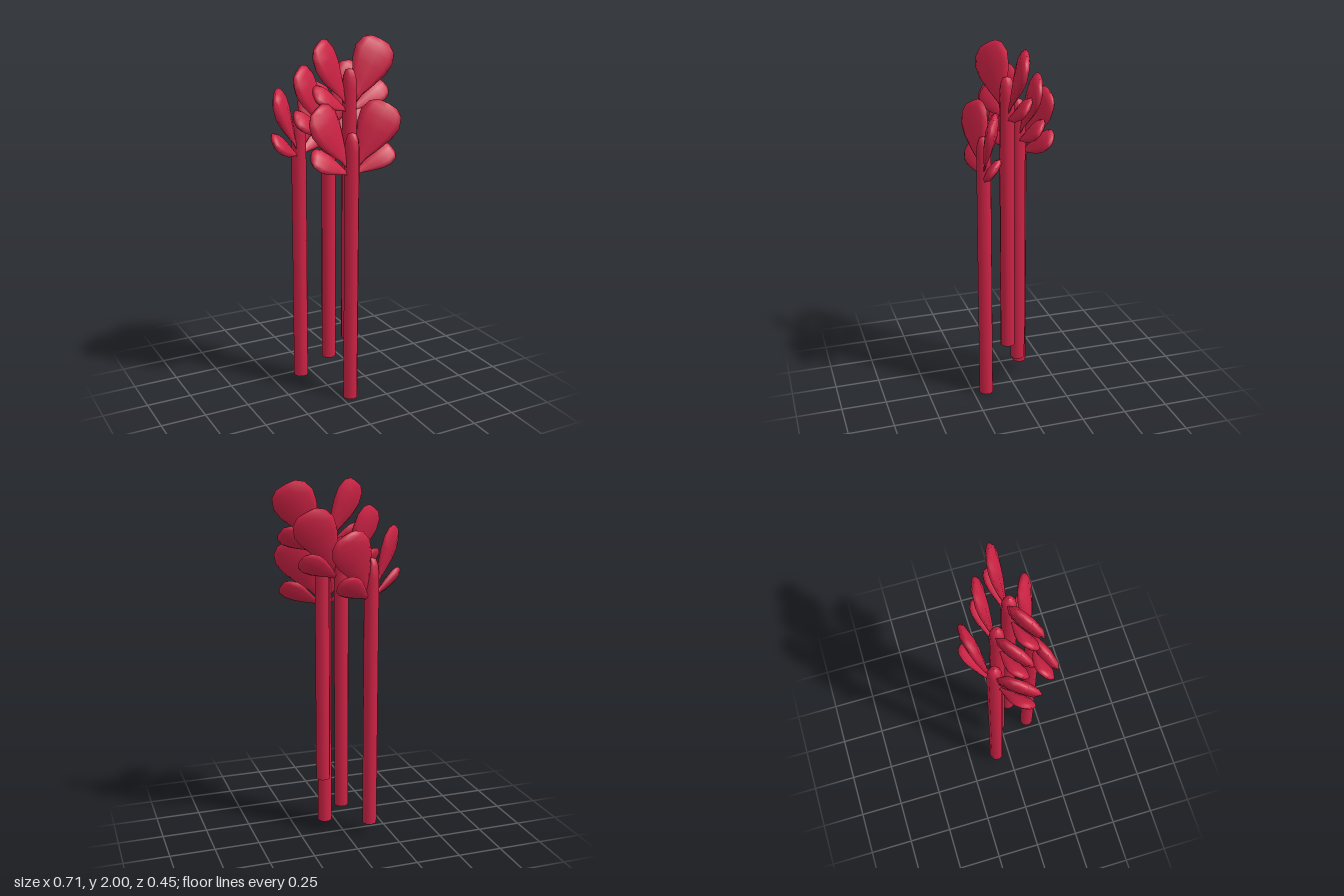
import * as THREE from 'three';

const crimson = new THREE.MeshStandardMaterial({ color: 0xcc2244 });
crimson.name = 'crimson';

const v2 = (list) => list.map(([x, y]) => new THREE.Vector2(x, y));

// Leaf: a flattened paddle with a narrow neck and a blunt tip, growing along +y
function leafGeometry(length, halfWidth, halfThickness) {
  const profile = v2([[0, 0], [0.14, 0.03], [0.24, 0.16], [0.58, 0.36], [0.9, 0.58],
    [1, 0.76], [0.83, 0.91], [0.5, 0.985], [0, 1]]);
  return new THREE.LatheGeometry(profile, 8).scale(halfWidth, length, halfThickness);
}

const stemGeometry = new THREE.LatheGeometry(
  v2([[0.04, 0], [0.04, 1.42], [0.036, 1.48], [0.023, 1.517], [0, 1.525]]), 10);
const capGeometry = new THREE.CircleGeometry(0.04, 10).rotateX(Math.PI / 2).rotateY(Math.PI / 10);

// Two pairs of leaves: lean is the angle from vertical, twist turns the blade about its length
const leafPairs = [
  { name: 'upperLeaf', geometry: leafGeometry(0.375, 0.115, 0.032), x: 0.02, y: 1.34, lean: 0.54, twist: 0.42 },
  { name: 'lowerLeaf', geometry: leafGeometry(0.26, 0.072, 0.026), x: 0.01, y: 1.3, lean: 1.08, twist: 0.7 },
];

function createStalk() {
  const stalk = new THREE.Group();
  const add = (name, geometry) => {
    const mesh = new THREE.Mesh(geometry, crimson);
    mesh.name = name;
    stalk.add(mesh);
    return mesh;
  };
  add('stem', stemGeometry);
  add('stemEnd', capGeometry);
  for (const { name, geometry, x, y, lean, twist } of leafPairs) {
    for (const side of [1, -1]) {
      const leaf = add(name + (side > 0 ? 'Left' : 'Right'), geometry);
      leaf.position.set(side * x, y, 0.004);
      leaf.rotation.set(0, -side * twist, -side * lean, 'ZYX');
    }
  }
  return stalk;
}

export function createModel() {
  const model = new THREE.Group();
  model.name = 'stalkBunch';
  // x, y, z and turn of each stalk
  const places = [
    [0.055, 0, 0.175, 0],
    [0.1, 0.315, 0.06, 0.19],
    [0.02, 0.18, -0.025, 0.25],
    [-0.13, 0.07, -0.083, 0.54],
  ];
  places.forEach(([x, y, z, turn], i) => {
    const stalk = createStalk();
    stalk.name = 'stalk' + (i + 1);
    stalk.position.set(x, y, z);
    stalk.rotation.y = turn;
    model.add(stalk);
  });
  return model;
}
